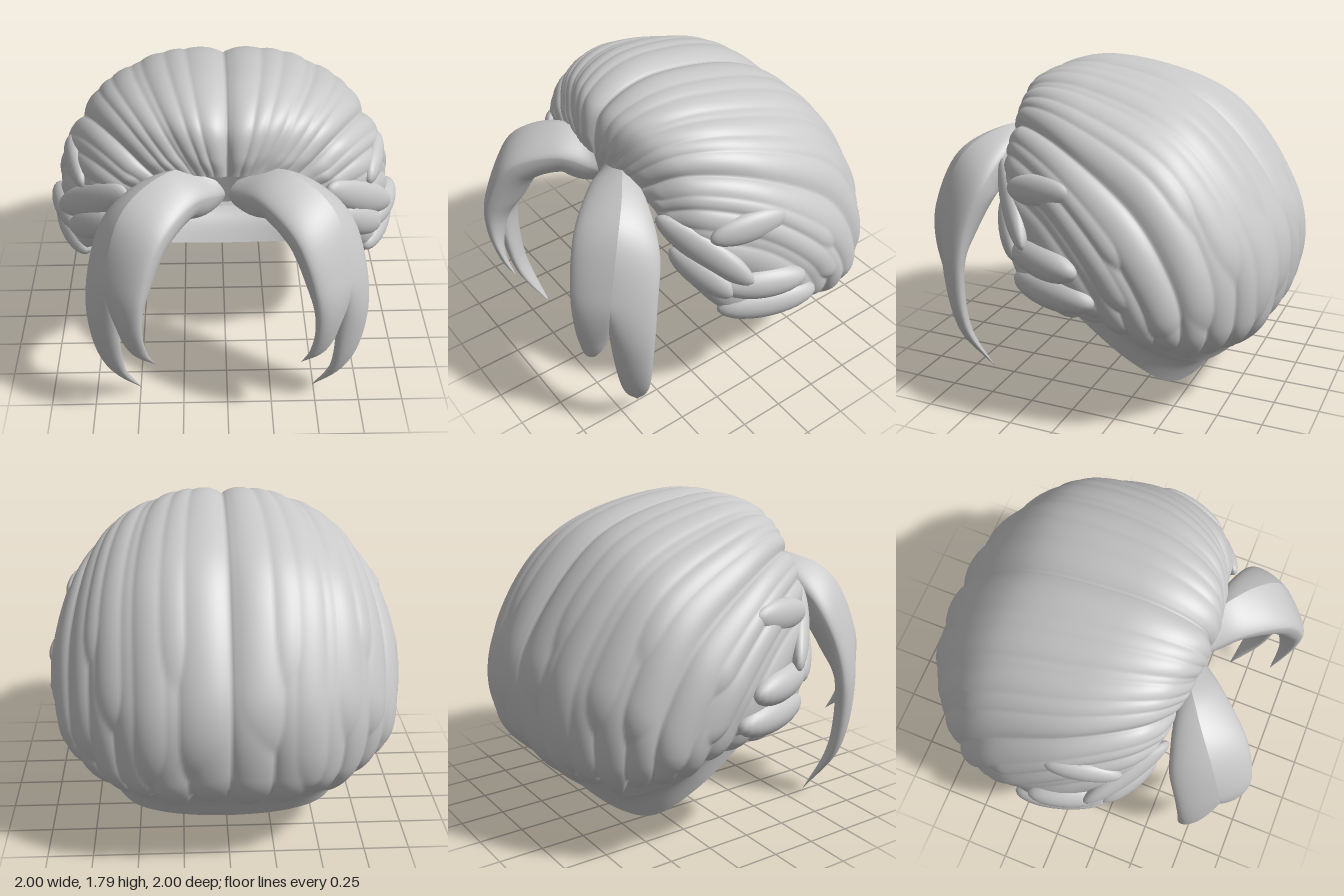
import * as THREE from 'three';
import { mergeVertices } from 'three/addons/utils/BufferGeometryUtils.js';

const { clamp, smoothstep, lerp } = THREE.MathUtils;
const V = (p) => new THREE.Vector3(...p);
const curve = (pts) => new THREE.CatmullRomCurve3(pts.map((p) => (p.isVector3 ? p : V(p))), false, 'catmullrom', 0.5);

// Hair flow lines, from the hairline over the head to the nape; centre to temple.
const flow = [
  [[0, 1.42, .54], [0, 1.68, .46], [0, 1.775, .1], [0, 1.6, -.5], [0, 1.08, -.93], [0, .62, -.975], [0, .28, -.79]],
  [[.13, 1.43, .54], [.26, 1.68, .42], [.36, 1.725, .05], [.42, 1.53, -.52], [.42, 1.03, -.89], [.42, .59, -.925], [.36, .3, -.76]],
  [[.28, 1.42, .52], [.48, 1.6, .36], [.64, 1.58, .02], [.72, 1.35, -.45], [.74, .95, -.71], [.71, .6, -.75], [.59, .33, -.66]],
  [[.45, 1.35, .49], [.65, 1.44, .33], [.82, 1.34, .02], [.91, 1.08, -.3], [.91, .8, -.48], [.87, .6, -.52], [.75, .42, -.46]],
  [[.57, 1.2, .46], [.75, 1.2, .33], [.87, 1.1, .1], [.93, .94, -.08], [.93, .8, -.18], [.9, .67, -.23], [.8, .54, -.25]],
  [[.63, .97, .43], [.75, .83, .34], [.83, .75, .25], [.87, .7, .16], [.87, .67, .08], [.85, .64, .03], [.78, .62, 0]],
].map(curve);
const lowerRim = [[0, .13, -.57], [.36, .15, -.55], [.57, .2, -.47], [.7, .36, -.3], [.75, .54, -.1], [.74, .65, .04]];

// A smooth curve across both halves, u from -1 (right) to 1 (left).
function across(half, u) {
  const mirrored = half.slice(1).reverse().map((p) => new THREE.Vector3(-p.x, p.y, p.z));
  return curve([...mirrored, ...half]).getPoint((clamp(u, -1, 1) + 1) / 2);
}
const head = (u, t) => across(flow.map((c) => c.getPoint(clamp(t, 0, 1))), u);

// Point lifted off the head surface along its normal.
function raised(u, t, h) {
  const e = 0.015;
  const cu = clamp(u, -1 + e, 1 - e);
  const du = head(cu + e, t).sub(head(cu - e, t));
  const dt = head(cu, t + e).sub(head(cu, t - e));
  return head(u, t).addScaledVector(du.cross(dt).normalize(), h);
}

// Surface over a unit grid, given by fn(a, b).
function grid(na, nb, fn) {
  const g = new THREE.PlaneGeometry(1, 1, na, nb);
  const pos = g.attributes.position;
  for (let j = 0, k = 0; j <= nb; j++) {
    for (let i = 0; i <= na; i++, k++) {
      const p = fn(i / na, j / nb);
      pos.setXYZ(k, p.x, p.y, p.z);
    }
  }
  g.deleteAttribute('uv');
  g.deleteAttribute('normal');
  const out = mergeVertices(g, 1e-4);
  out.computeVertexNormals();
  return out;
}

// Overlapping locks: a long under layer, then shorter upper layers beside the parting.
const BASE = -0.04;
const locks = [];
const N = 20;
for (let i = 0; i < N; i++) {
  locks.push({ u: -1 + (2 * i + 1) / N, w: 1.15 / N, end: 0.965 + 0.02 * Math.sin(i * 2.4), top: 0.015 });
}
for (const s of [-1, 1]) {
  [.07, .19, .31, .43, .56, .69, .82].forEach((u, i) => {
    locks.push({ u: s * u, w: 0.072, end: 0.82 + 0.08 * Math.sin(i * 2.1 + s * 0.4), top: 0.026 });
  });
  [.13, .37, .61].forEach((u, i) => {
    locks.push({ u: s * u, w: 0.06, end: 0.68 - 0.05 * i, top: 0.028 });
  });
}

// Height of the topmost lock at a place on the head; each is rounded across and at its tip.
function lockHeight(u, t) {
  let h = BASE;
  for (const { u: u0, w, end, top } of locks) {
    const v = t / end;
    if (v >= 1) continue;
    const k = v < 0.85 ? 1 : Math.sqrt(1 - ((v - 0.85) / 0.15) ** 2);
    const s = (u - u0) / (w * k);
    if (Math.abs(s) < 1) h = Math.max(h, BASE + (top - BASE) * Math.sqrt(1 - s * s) * k * smoothstep(v, -0.08, 0.08));
  }
  return h;
}

// Half of a bang: joined to its twin along the middle line, then closing into its own pointed tip.
function bangHalf(middle, frontEdge, rearEdge, isFront) {
  const M = curve(middle), F = curve(frontEdge), R = curve(rearEdge);
  return grid(28, 48, (a, b) => {
    const turn = isFront ? 1 - a : a;
    const q = 0.5 - 0.5 * Math.cos(turn * Math.PI * 2);
    const top = turn < 0.5;
    const m = M.getPoint(b), f = F.getPoint(b), r = R.getPoint(b);
    const side = (isFront ? f : r).clone().sub(m);
    const dir = M.getPoint(Math.min(1, b + 0.01)).sub(M.getPoint(Math.max(0, b - 0.01)));
    const n = dir.cross(r.sub(f)).normalize();
    const joined = Math.sqrt(Math.max(0, 1 - q * q)) * (top ? 0.07 : 0.06 + 0.13 * (1 - smoothstep(b, 0.3, 0.75)));
    const single = Math.sqrt(Math.max(0, 1 - (2 * q - 1) ** 2)) * side.length() * (top ? 0.25 : 0.2);
    const h = lerp(joined, single, smoothstep(b, 0.5, 0.72));
    return m.addScaledVector(side, q).addScaledVector(n, top ? h : -h);
  });
}

export function createModel() {
  const model = new THREE.Group();
  const hair = new THREE.MeshStandardMaterial({ color: 0xc8c8c8, side: THREE.DoubleSide });
  hair.name = 'hairGrey';
  const add = (name, geometry, parent = model) => {
    const m = new THREE.Mesh(geometry, hair);
    m.name = name;
    parent.add(m);
    return m;
  };

  // Head of hair, one sheet sculpted into locks
  add('hairLocks', grid(320, 110, (a, b) => {
    const u = 1 - 2 * a;
    return raised(u, b, lockHeight(u, b));
  }));

  // Smooth band below the locks, tucked in and down to the open rim
  const rim = lowerRim.map(V);
  add('napeBand', grid(64, 10, (a, b) => {
    const u = 1 - 2 * a;
    const p = raised(u, 1, BASE).lerp(across(rim, u), b);
    p.y += 0.05 * Math.sin(Math.PI * b) * (1 - u * u);
    return p;
  }));

  // Underside of the front hairline
  add('hairlineLining', grid(24, 4, (a, b) => {
    const u = 0.62 * (1 - 2 * a);
    const fade = 1 - (u / 0.62) ** 4;
    const p = raised(u, 0, BASE);
    return p.add(new THREE.Vector3(0, -0.2 * b * fade, -0.05 * b));
  }));

  // Forked front bangs and temple locks, built once and mirrored
  const front = [[.01, 1.28, .5], [.16, 1.35, .67], [.33, 1.26, .87], [.43, 1, .97], [.45, .76, .97], [.43, .58, .93], [.39, .45, .88]];
  const joint = [[.14, 1.36, .47], [.32, 1.39, .56], [.5, 1.28, .71], [.575, .98, .81], [.58, .73, .84]];
  const rear = [[.3, 1.36, .46], [.47, 1.33, .5], [.64, 1.18, .56], [.725, .93, .64], [.745, .65, .68], [.69, .32, .68], [.49, .01, .63]];
  const shortMiddle = [...joint, [.52, .57, .89], [.39, .45, .88]];
  const longMiddle = [...joint, [.57, .32, .78], [.49, .01, .63]];
  const templeLocks = [
    [[.76, 1.25, .34], [.86, 1.29, -.07], .09, .06],
    [[.52, 1.32, .5], [.92, .99, .18], .095, .06],
    [[.58, 1.13, .46], [.86, .9, .26], .09, .06],
    [[.8, .94, .3], [.97, .92, -.14], .095, .085],
    [[.78, .77, .3], [.96, .77, -.23], .1, .095],
  ];
  for (const [side, sign] of [['left', 1], ['right', -1]]) {
    const half = new THREE.Group();
    half.name = side + 'FrontHair';
    half.scale.x = sign;
    model.add(half);
    add(side + 'ShortBang', bangHalf(shortMiddle, front, rear, true), half);
    add(side + 'LongBang', bangHalf(longMiddle, front, rear, false), half);
    for (const [from, to, height, thick] of templeLocks) {
      const a = V(from), b = V(to);
      const g = new THREE.SphereGeometry(1, 24, 16).scale(thick, height, a.distanceTo(b) / 2);
      const m = add(side + 'TempleLock', g, half);
      m.position.copy(a).lerp(b, 0.5);
      m.quaternion.setFromRotationMatrix(new THREE.Matrix4().lookAt(b, a, new THREE.Vector3(0, 1, 0)));
    }
  }
  return model;
}
